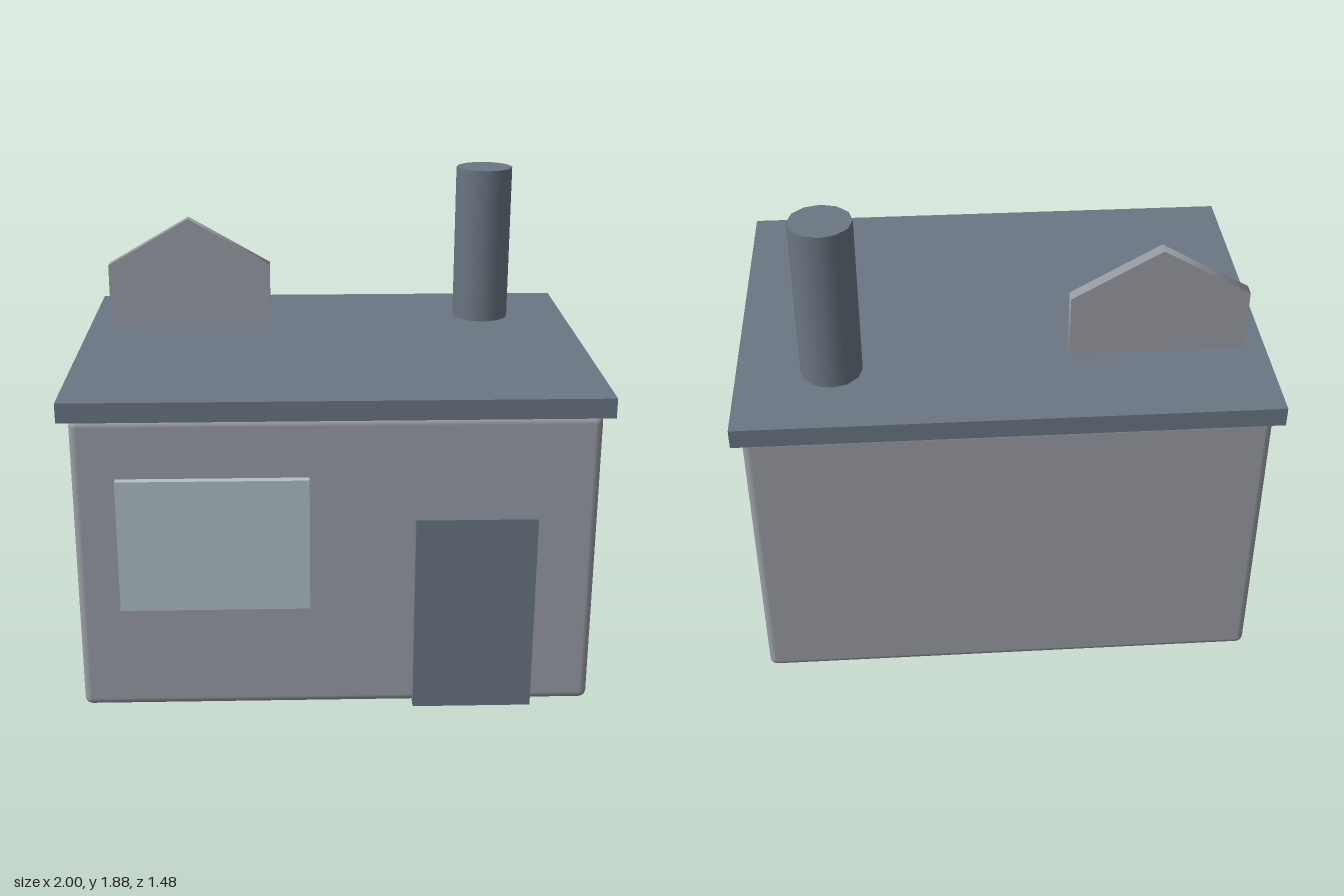
import * as THREE from 'three';
import { RoundedBoxGeometry } from 'three/addons/geometries/RoundedBoxGeometry.js';

export function createModel() {
  const model = new THREE.Group();
  model.name = 'building';

  const material = (name, color) => {
    const m = new THREE.MeshStandardMaterial({ color });
    m.name = name;
    return m;
  };
  const wall = material('wall grey', 0x9a9ea6);
  const slate = material('slate', 0x6b7683);
  const glass = material('window glass', 0xb2c0ca);

  const add = (name, geometry, mat, x, y, z) => {
    const mesh = new THREE.Mesh(geometry, mat);
    mesh.name = name;
    mesh.position.set(x, y, z);
    model.add(mesh);
    return mesh;
  };

  // Walls with softly rounded edges
  add('walls', new RoundedBoxGeometry(1.93, 1.16, 1.42, 3, 0.03), wall, 0, 0.584, 0);

  // Flat overhanging roof slab
  add('roof', new THREE.BoxGeometry(2, 0.075, 1.484), slate, 0, 1.203, 0);

  // Door and window panels standing proud of the front wall
  add('door', new THREE.BoxGeometry(0.45, 0.775, 0.05), slate, 0.515, 0.3875, 0.715);
  add('window', new THREE.BoxGeometry(0.705, 0.515, 0.05), glass, -0.4525, 0.68, 0.715);

  // Round chimney
  add('chimney', new THREE.CylinderGeometry(0.116, 0.116, 0.68, 12), slate, 0.645, 1.535, -0.39);

  // Six-sided plate, its lower half sunk through the roof
  const plate = new THREE.CylinderGeometry(0.387, 0.387, 0.05, 6);
  plate.rotateX(Math.PI / 2);
  add('roofPlate', plate, wall, -0.585, 1.293, -0.326);

  return model;
}
